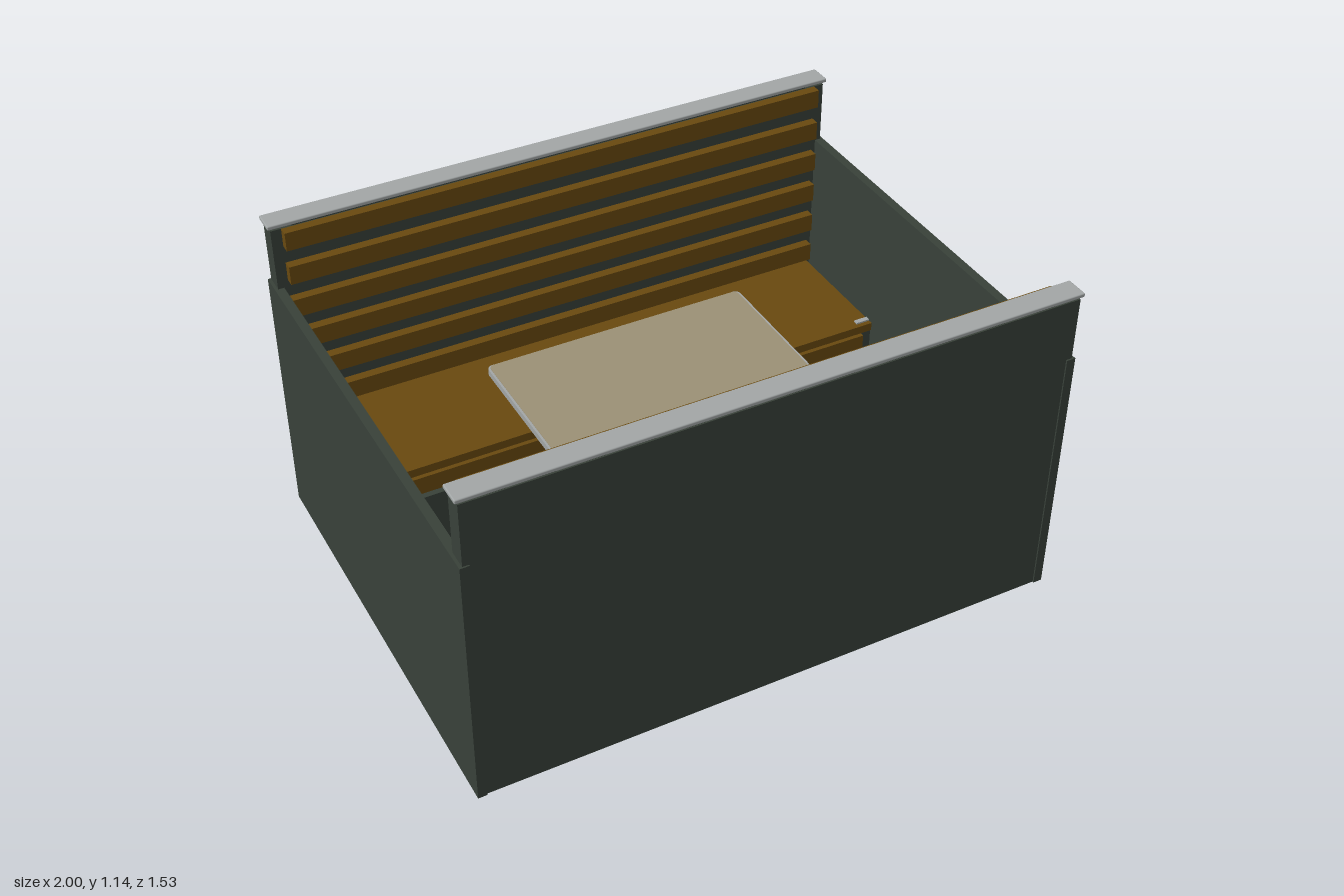
import * as THREE from 'three';
import { RoundedBoxGeometry } from 'three/addons/geometries/RoundedBoxGeometry.js';

const paint = (name, color) => {
  const m = new THREE.MeshStandardMaterial({ color });
  m.name = name;
  return m;
};

export function createModel() {
  const green = paint('dark green panel', 0x384139);
  const wood = paint('brown wood', 0x69490f);
  const beige = paint('beige laminate', 0x9b9075);
  const metal = paint('grey metal', 0xa2a6a6);

  const model = new THREE.Group();
  model.name = 'diningBooth';

  // Box given by its limits on each axis
  const box = (parent, name, mat, [x0, x1], [y0, y1], [z0, z1]) => {
    const mesh = new THREE.Mesh(new THREE.BoxGeometry(x1 - x0, y1 - y0, z1 - z0), mat);
    mesh.position.set((x0 + x1) / 2, (y0 + y1) / 2, (z0 + z1) / 2);
    mesh.name = name;
    parent.add(mesh);
    return mesh;
  };

  // Side walls
  for (const s of [-1, 1]) {
    const wall = box(model, s > 0 ? 'leftWall' : 'rightWall', green, [-0.015, 0.015], [0, 0.9], [-0.762, 0.762]);
    wall.position.x = s * 0.985;
  }

  // One bench, built at +z with its seat facing -z
  const buildBench = () => {
    const bench = new THREE.Group();

    // Back panel: narrow between the walls, wider above them
    box(bench, 'backPanel', green, [-0.97, 0.97], [0, 0.9], [0.692, 0.757]);
    box(bench, 'upperBackPanel', green, [-0.99, 0.99], [0.9, 1.115], [0.692, 0.757]);
    box(bench, 'capSpacer', green, [-0.92, 0.92], [1.115, 1.125], [0.695, 0.752]);

    // Metal cap rail with softened edges
    const cap = new THREE.Mesh(new RoundedBoxGeometry(2, 0.014, 0.078, 2, 0.004), metal);
    cap.position.set(0, 1.13, 0.724);
    cap.name = 'capRail';
    bench.add(cap);

    // Backrest slats
    for (let i = 0; i < 6; i++) {
      const y = 0.425 + i * 0.125;
      box(bench, 'backrestSlat', wood, [-0.955, 0.955], [y, y + 0.065], [0.66, 0.692]);
    }

    // Closed base with a front panel below the seat
    box(bench, 'base', green, [-0.97, 0.97], [0, 0.28], [0.242, 0.692]);
    box(bench, 'seatSupport', green, [-0.97, 0.97], [0.28, 0.37], [0.27, 0.692]);

    // Seat board and front apron
    box(bench, 'seat', wood, [-0.96, 0.96], [0.37, 0.4], [0.25, 0.692]);
    box(bench, 'seatApron', wood, [-0.93, 0.93], [0.29, 0.355], [0.252, 0.275]);

    // Metal clips at the front corners of the seat
    for (const s of [-1, 1]) {
      const clip = box(bench, 'seatClip', metal, [-0.025, 0.025], [0.4, 0.406], [0.266, 0.284]);
      clip.position.x = s * 0.935;
    }
    return bench;
  };

  const frontBench = buildBench();
  frontBench.name = 'frontBench';
  const backBench = buildBench();
  backBench.name = 'backBench';
  backBench.rotation.y = Math.PI;
  model.add(frontBench, backBench);

  // Table: metal-edged top on a round pedestal
  const table = new THREE.Group();
  table.name = 'table';
  const slab = (w, d, r, h) => {
    const s = new THREE.Shape();
    const x = w / 2 - r, y = d / 2 - r;
    s.absarc(x, y, r, 0, Math.PI / 2);
    s.absarc(-x, y, r, Math.PI / 2, Math.PI);
    s.absarc(-x, -y, r, Math.PI, 1.5 * Math.PI);
    s.absarc(x, -y, r, 1.5 * Math.PI, 2 * Math.PI);
    return new THREE.ExtrudeGeometry(s, { depth: h, bevelEnabled: false, curveSegments: 6 }).rotateX(-Math.PI / 2);
  };
  const add = (name, geo, mat, y) => {
    const mesh = new THREE.Mesh(geo, mat);
    mesh.position.y = y;
    mesh.name = name;
    table.add(mesh);
  };
  add('tableEdge', slab(0.915, 0.64, 0.02, 0.022), metal, 0.636);
  add('tableSurface', slab(0.9, 0.635, 0.018, 0.002), beige, 0.658);
  add('pedestalColumn', new THREE.CylinderGeometry(0.022, 0.022, 0.63, 24), metal, 0.322);
  add('pedestalFoot', new THREE.CylinderGeometry(0.125, 0.13, 0.012, 40), metal, 0.006);
  model.add(table);

  return model;
}
